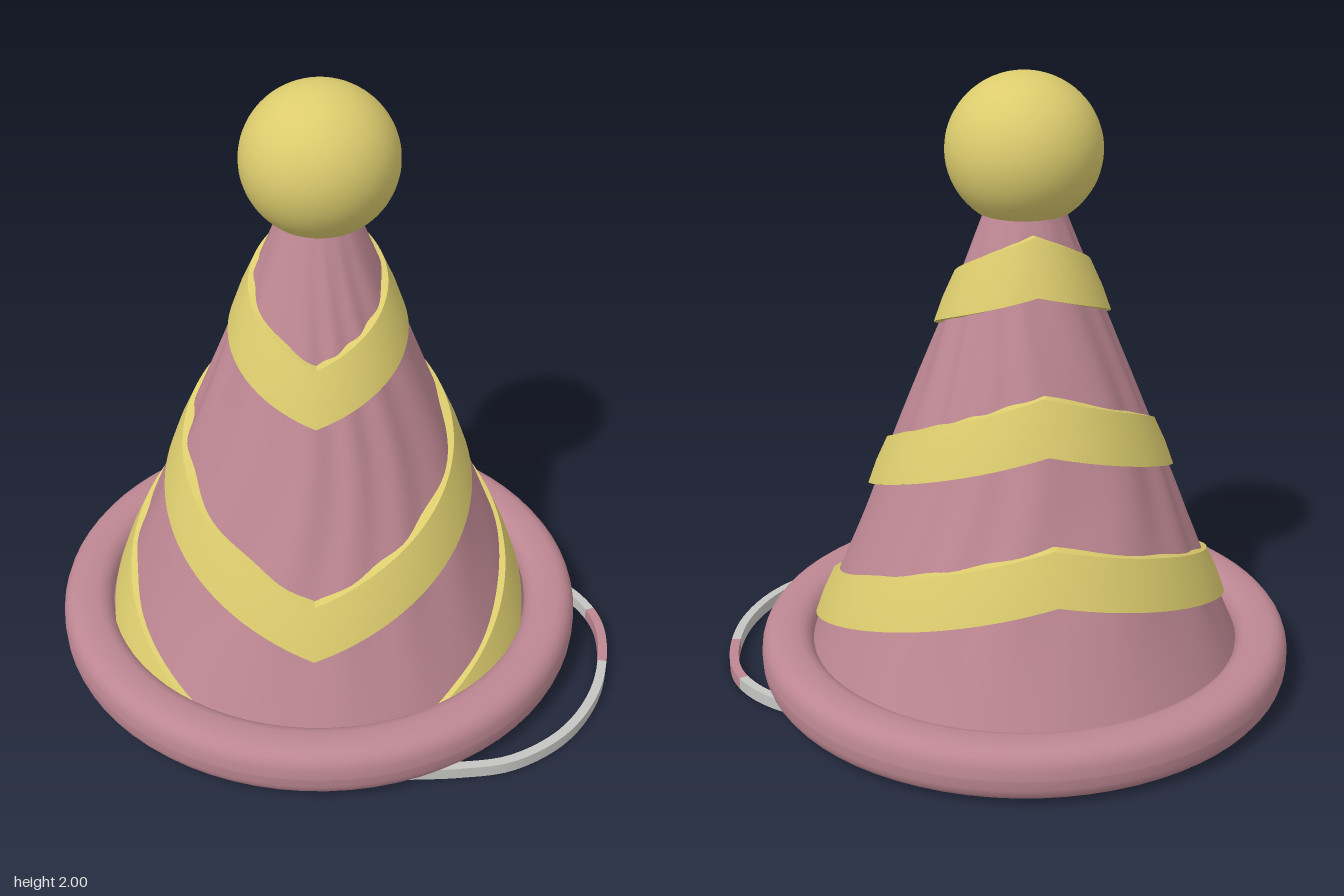
import * as THREE from 'three';
import { toCreasedNormals } from 'three/addons/utils/BufferGeometryUtils.js';

const material = (name, color) =>
  new THREE.MeshStandardMaterial({ name, color, side: THREE.DoubleSide });

// Surface from a rule: point(u, v) with u and v running from 0 to 1
function surface(nu, nv, point) {
  const positions = [], index = [];
  for (let i = 0; i <= nu; i++)
    for (let j = 0; j <= nv; j++) positions.push(...point(i / nu, j / nv));
  for (let i = 0; i < nu; i++)
    for (let j = 0; j < nv; j++) {
      const a = i * (nv + 1) + j, b = a + nv + 1;
      index.push(a, b, a + 1, b, b + 1, a + 1);
    }
  const geometry = new THREE.BufferGeometry();
  geometry.setAttribute('position', new THREE.Float32BufferAttribute(positions, 3));
  geometry.setIndex(index);
  geometry.computeVertexNormals();
  return geometry;
}

const coneRadius = (y) => 0.675 - (y - 0.2) * 0.4;
const around = (angle, r, y) => [r * Math.sin(angle), y, r * Math.cos(angle)];

// Cloth cone with shallow vertical folds
function coneGeometry() {
  return toCreasedNormals(surface(120, 40, (u, v) => {
    const angle = u * Math.PI * 2, y = 0.08 + v * 1.54;
    const fold = 0.5 + 0.5 * Math.sin(13 * angle + 2 * Math.sin(3 * angle) + 1.5 * Math.sin(y * 5));
    return around(angle, coneRadius(y) - 0.014 * fold * Math.sin(Math.PI * v), y);
  }), 0.9);
}

// Band that climbs both ways from a pointed tip at the front
function bandGeometry({ tip, rise, half, start }) {
  const section = [[-1, -0.015], [-0.93, 0.014], [0, 0.018], [0.93, 0.014], [1, -0.015]];
  return toCreasedNormals(surface(128, section.length - 1, (u, v) => {
    const turn = THREE.MathUtils.lerp(-Math.PI + 0, Math.PI, u);
    const t = Math.max(Math.abs(turn), start) / Math.PI;
    const height = tip + rise * (Math.sin(t * Math.PI / 2) + t) / 2;
    const [k, out] = section[Math.round(v * (section.length - 1))];
    const y = Math.max(height + k * half, 0.08 + 0.01 * (k + 1));
    const angle = Math.sign(turn) * t * Math.PI - 0.314;
    return around(angle, coneRadius(y) + out, y);
  }), 0.6);
}

// Rounded, slightly boxy rim
function brimGeometry() {
  const soft = (c) => Math.sign(c) * Math.abs(c) ** 0.75;
  const profile = [];
  for (let i = 0; i <= 24; i++) {
    const a = (i / 24) * Math.PI * 2;
    profile.push(new THREE.Vector2(0.782 + 0.087 * soft(Math.cos(a)), 0.101 + 0.088 * soft(Math.sin(a))));
  }
  return new THREE.LatheGeometry(profile, 72);
}

// Ball with a flat underside
function ballGeometry() {
  const profile = [new THREE.Vector2(0, -0.185)];
  for (let i = 0; i <= 28; i++) {
    const a = THREE.MathUtils.lerp(-0.905, Math.PI / 2, i / 28);
    profile.push(new THREE.Vector2(0.241 * Math.cos(a), 0.235 * Math.sin(a)));
  }
  return toCreasedNormals(new THREE.LatheGeometry(profile, 48), 0.6);
}

// Strap: a small rectangle swept along a flat curve
const strapPath = new THREE.CatmullRomCurve3([
  [0.02, 0.79], [0.18, 0.83], [0.35, 0.85], [0.55, 0.79], [0.72, 0.65],
  [0.83, 0.47], [0.87, 0.33], [0.86, 0.21], [0.82, 0.11], [0.76, 0.02],
].map(([x, z]) => new THREE.Vector3(x, 0.022, z)));

function strapGeometry(from, to) {
  const corners = [[-1, -1], [1, -1], [1, 1], [-1, 1], [-1, -1]];
  return toCreasedNormals(surface(24, 4, (u, v) => {
    const t = THREE.MathUtils.lerp(from, to, u);
    const p = strapPath.getPointAt(t), d = strapPath.getTangentAt(t);
    const [side, up] = corners[Math.round(v * 4)];
    return [p.x + d.z * side * 0.015, p.y + up * 0.02, p.z - d.x * side * 0.015];
  }), 0.6);
}

export function createModel() {
  const pink = material('dustyPink', 0xbd8792);
  const yellow = material('softYellow', 0xdccc6e);
  const grey = material('paleGrey', 0xc4c4c2);

  const group = new THREE.Group();
  group.name = 'partyHat';
  const add = (name, geometry, mat, x = -0.02, y = 0, z = -0.013) => {
    const mesh = new THREE.Mesh(geometry, mat);
    mesh.name = name;
    mesh.position.set(x, y, z);
    group.add(mesh);
  };

  add('cone', coneGeometry(), pink);
  add('brim', brimGeometry(), pink);
  add('pompom', ballGeometry(), yellow, -0.014, 1.765, -0.018);

  // Three bands, the lowest one running down behind the brim
  [
    { tip: 1.125, rise: 0.32, half: 0.09, start: 0 },
    { tip: 0.44, rise: 0.56, half: 0.088, start: 0 },
    { tip: -0.1, rise: 0.68, half: 0.085, start: 0.52 },
  ].forEach((band, i) => add(`band${i + 1}`, bandGeometry(band), yellow));

  // Strap in three lengths, with a pink one in the middle
  add('strapFront', strapGeometry(0, 0.63), grey, 0, 0, 0);
  add('strapTab', strapGeometry(0.63, 0.81), pink, 0, 0, 0);
  add('strapBack', strapGeometry(0.81, 1), grey, 0, 0, 0);

  return group;
}
